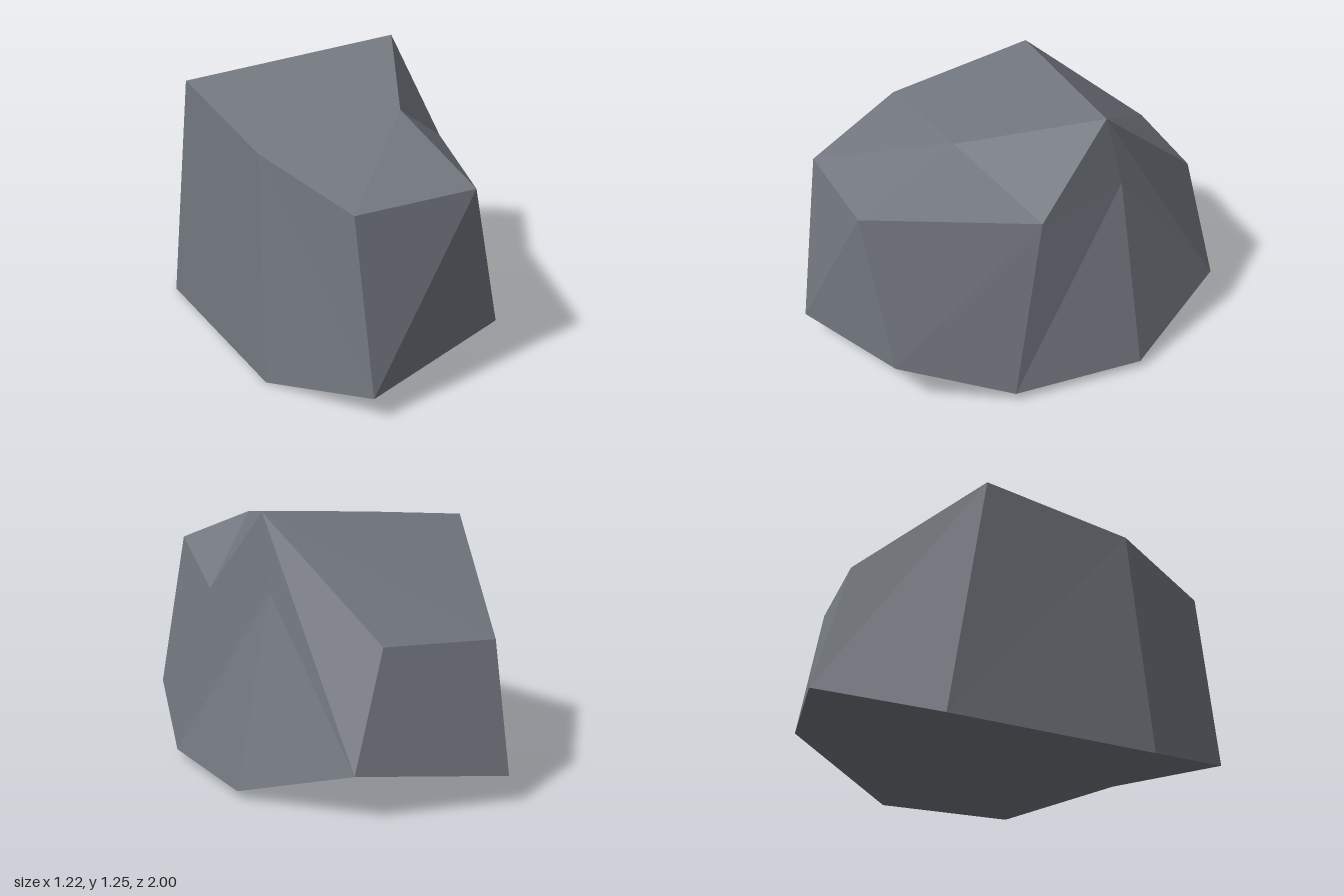
import * as THREE from 'three';

// Cross-sections from back to front, each running:
// bottom left, top left, top right, shoulder, bottom right
const sections = [
  [[-0.34, 0.13, -1.0], [-0.37, 0.71, -0.85], [0.18, 0.74, -0.77], [0.36, 0.215, -0.82], [0.36, 0.215, -0.82]],
  [[-0.61, 0.01, -0.5], [-0.595, 1.155, -0.31], [0.405, 1.25, -0.18], [0.42, 0.91, -0.26], [0.61, 0.035, -0.28]],
  [[-0.61, 0.0, 0.49], [-0.58, 1.055, 0.4], [0.105, 1.13, 0.41], [0.47, 0.85, 0.165], [0.56, 0.04, 0.345]],
  [[-0.355, 0.115, 1.0], [-0.39, 0.925, 0.885], [0.185, 0.93, 0.905], [0.185, 0.93, 0.905], [0.36, 0.225, 0.84]],
];

// Which way each facet between two sections is split into triangles
const splits = [
  [1, 1, 0, 1, 1],
  [1, 1, 1, 1, 1],
  [0, 0, 1, 1, 0],
];

function rockGeometry() {
  const positions = [];
  const same = (p, q) => p.every((v, i) => v === q[i]);
  const triangle = (a, b, c) => {
    // Merged corners leave no face
    if (!same(a, b) && !same(b, c) && !same(a, c)) positions.push(...a, ...b, ...c);
  };

  // Facets around the sides
  splits.forEach((row, s) => row.forEach((split, i) => {
    const j = (i + 1) % 5;
    const a = sections[s][i], b = sections[s][j];
    const c = sections[s + 1][j], d = sections[s + 1][i];
    if (split) {
      triangle(a, d, c);
      triangle(a, c, b);
    } else {
      triangle(d, c, b);
      triangle(d, b, a);
    }
  }));

  // Back and front faces
  const back = sections[0], front = sections[3];
  triangle(back[0], back[1], back[2]);
  triangle(back[0], back[2], back[4]);
  triangle(front[0], front[4], front[2]);
  triangle(front[0], front[2], front[1]);

  const geometry = new THREE.BufferGeometry();
  geometry.setAttribute('position', new THREE.Float32BufferAttribute(positions, 3));
  geometry.computeVertexNormals();
  return geometry;
}

export function createModel() {
  const stone = new THREE.MeshStandardMaterial({ color: 0x737880 });
  stone.name = 'slate grey stone';
  stone.flatShading = true;

  const rock = new THREE.Mesh(rockGeometry(), stone);
  rock.name = 'rock';

  const group = new THREE.Group();
  group.name = 'boulder';
  group.add(rock);
  return group;
}
